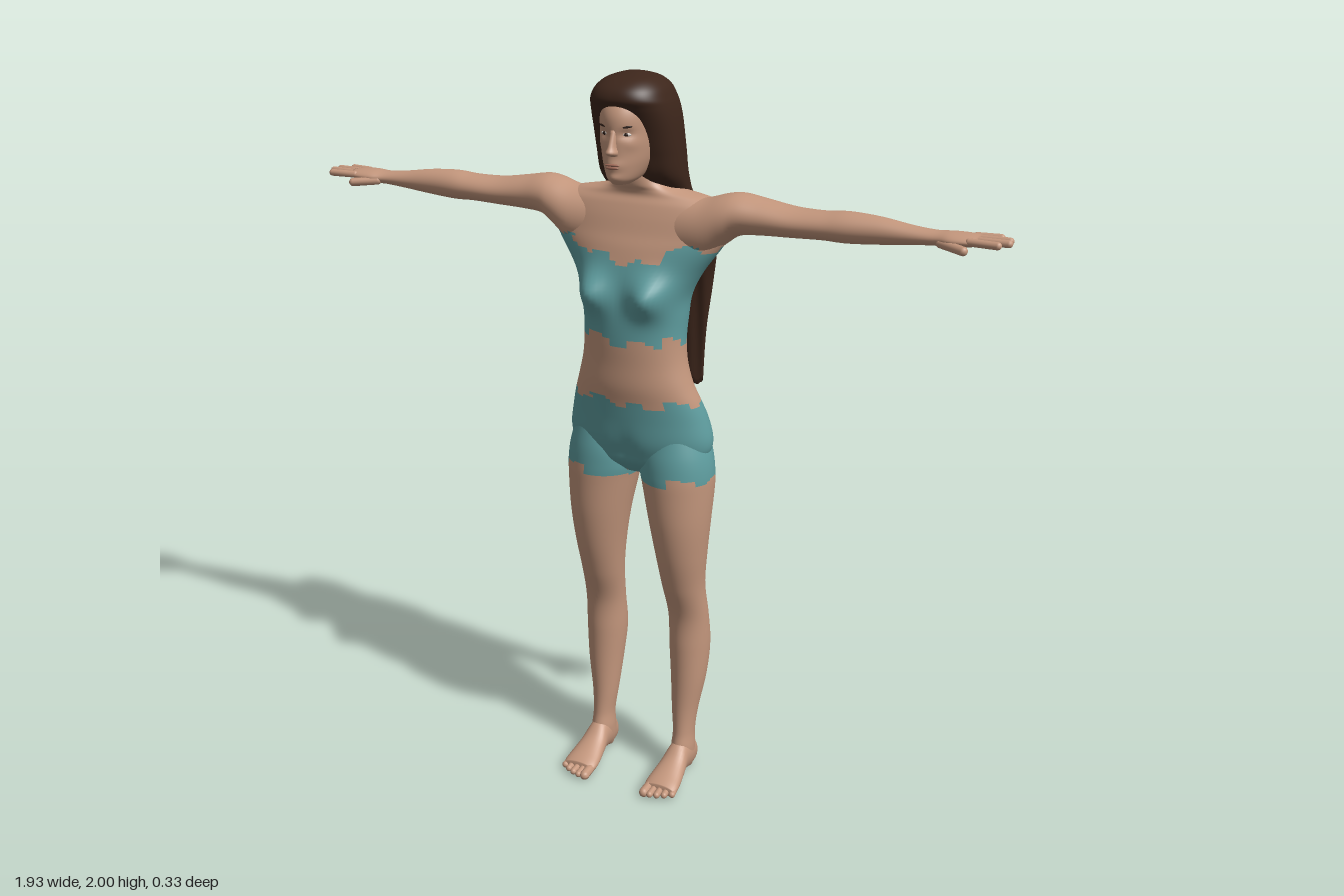
import * as THREE from 'three';

const mat = (name, color) => Object.assign(new THREE.MeshStandardMaterial({ color }), { name });

// Uniform cubic through four values
const cubic = (a, b, c, d, t) =>
  b + 0.5 * t * (c - a + t * (2 * a - 5 * b + 4 * c - d + t * (3 * (b - c) + d - a)));

// Smooth closed loft along an axis (0 x, 1 y, 2 z).
// A row is [s, aMin, aMax, bMin, bMax]; a and b are the next two axes in cyclic order.
function loft(rows, axis, { seg = 48, sub = 4, power = 2, warp, pick = () => 0 } = {}) {
  const rings = [];
  for (let i = 0; i < rows.length - 1; i++) {
    const r = [i - 1, i, i + 1, i + 2].map(k => rows[THREE.MathUtils.clamp(k, 0, rows.length - 1)]);
    for (let j = 0; j < sub; j++) rings.push(rows[i].map((_, k) => cubic(r[0][k], r[1][k], r[2][k], r[3][k], j / sub)));
  }
  rings.push(rows[rows.length - 1]);
  const pole = r => [r[0], (r[1] + r[2]) / 2, (r[1] + r[2]) / 2, (r[3] + r[4]) / 2, (r[3] + r[4]) / 2];
  rings.unshift(pole(rings[0]));
  rings.push(pole(rings[rings.length - 1]));

  const pts = [];
  const curve = v => Math.sign(v) * Math.abs(v) ** (2 / power);
  for (const [s, a0, a1, b0, b1] of rings) {
    for (let j = 0; j < seg; j++) {
      const t = (j / seg) * Math.PI * 2, u = curve(Math.cos(t)), v = curve(Math.sin(t));
      const p = [0, 0, 0];
      p[axis] = s;
      p[(axis + 1) % 3] = (a0 + a1) / 2 + u * (a1 - a0) / 2;
      p[(axis + 2) % 3] = (b0 + b1) / 2 + v * (b1 - b0) / 2;
      const q = new THREE.Vector3(...p);
      if (warp) warp(q, u);
      pts.push(q);
    }
  }
  const buckets = [[], []];
  for (let i = 0; i < rings.length - 1; i++) {
    for (let j = 0; j < seg; j++) {
      const a = i * seg + j, b = i * seg + (j + 1) % seg, c = b + seg, d = a + seg;
      const mid = pts[a].clone().add(pts[b]).add(pts[c]).add(pts[d]).multiplyScalar(0.25);
      buckets[pick(mid)].push(a, b, c, a, c, d);
    }
  }
  const g = new THREE.BufferGeometry().setFromPoints(pts);
  g.setIndex(buckets.flat());
  g.addGroup(0, buckets[0].length, 0);
  if (buckets[1].length) g.addGroup(buckets[0].length, buckets[1].length, 1);
  g.computeVertexNormals();
  return g;
}

// Copy of a geometry on the other side of x = 0
function mirrored(geo) {
  const g = geo.clone(), ix = g.index.array;
  g.scale(-1, 1, 1);
  for (let i = 0; i < ix.length; i += 3) [ix[i], ix[i + 1]] = [ix[i + 1], ix[i]];
  g.computeVertexNormals();
  return g;
}

// Rows for upright parts that are symmetric: [y, zBack, zFront, halfWidth]
const upright = rows => rows.map(([y, z0, z1, w]) => [y, z0, z1, -w, w]);

// Soft swellings and hollows: [|x|, y, depth, widthX, widthY, side]
const bumps = list => (p, u) => {
  for (const [x, y, d, sx, sy, side] of list) {
    if (u * side <= 0) continue;
    p.z += side * d * Math.min(1, Math.abs(u) * 1.6) *
      Math.exp(-(((Math.abs(p.x) - x) / sx) ** 2) - ((p.y - y) / sy) ** 2);
  }
};
const bodyShape = bumps([
  [0.085, 1.445, 0.048, 0.048, 0.05, 1], [0, 1.0, -0.008, 0.03, 0.06, 1],
  [0.095, 1.035, 0.042, 0.07, 0.075, -1], [0, 1.02, -0.03, 0.018, 0.08, -1],
  [0, 1.4, -0.012, 0.03, 0.12, -1],
]);
const faceShape = bumps([
  [0.03, 1.86, -0.008, 0.016, 0.011, 1], [0, 1.782, 0.005, 0.025, 0.014, 1],
  [0, 1.752, 0.005, 0.02, 0.01, 1], [0.045, 1.835, 0.004, 0.015, 0.015, 1],
]);

// Cloth areas with a stepped edge
function isCloth({ x, y, z }) {
  const k = Math.floor(Math.atan2(z, x) * 5);
  const n = Math.sin(k * 12.9) * 43758;
  const e = (n - Math.floor(n) - 0.5) * 0.026;
  const top = z < 0 ? 1.575 : 1.53 + Math.min(0.045, 1.8 * x * x);
  return (y > 0.925 + Math.abs(x) * 0.09 + e && y < 1.153 + e) || (y > 1.325 + e && y < top + e) ? 1 : 0;
}

export function createModel() {
  const model = new THREE.Group();
  const skin = mat('skin', 0xc4977d), cloth = mat('tealCloth', 0x5f9ea0), hair = mat('brownHair', 0x3d261b);
  const lip = mat('lip', 0xa06c5a), white = mat('eyeWhite', 0xd8d0c8), dark = mat('darkBrown', 0x2c1c15);
  const add = (name, geo, m) => {
    const mesh = new THREE.Mesh(geo, m);
    mesh.name = name;
    model.add(mesh);
    return mesh;
  };
  const body = [skin, cloth];

  // Torso and neck
  add('torso', loft(upright([
    [0.935, -0.07, 0.03, 0.08], [0.97, -0.105, 0.065, 0.165], [1.0, -0.12, 0.077, 0.198], [1.04, -0.13, 0.088, 0.207],
    [1.1, -0.12, 0.095, 0.195], [1.15, -0.1, 0.102, 0.18], [1.2, -0.085, 0.11, 0.162], [1.26, -0.08, 0.112, 0.147],
    [1.32, -0.085, 0.115, 0.142], [1.38, -0.095, 0.115, 0.145], [1.44, -0.1, 0.11, 0.153], [1.5, -0.1, 0.1, 0.182],
    [1.56, -0.1, 0.085, 0.225], [1.6, -0.1, 0.07, 0.25], [1.64, -0.1, 0.057, 0.26], [1.67, -0.095, 0.045, 0.245],
    [1.69, -0.09, 0.035, 0.19], [1.705, -0.075, 0.037, 0.115], [1.72, -0.06, 0.045, 0.073], [1.75, -0.05, 0.05, 0.054],
    [1.8, -0.05, 0.05, 0.052],
  ]), 1, { seg: 72, sub: 6, warp: bodyShape, pick: isCloth }), body);

  // Legs: y, zBack, zFront, xInner, xOuter
  const leg = loft([
    [0.008, -0.07, -0.03, 0.11, 0.15], [0.04, -0.082, 0, 0.1, 0.16], [0.08, -0.08, 0.012, 0.098, 0.162],
    [0.13, -0.078, 0.002, 0.1, 0.16], [0.2, -0.09, -0.003, 0.092, 0.166], [0.3, -0.115, -0.004, 0.083, 0.182],
    [0.4, -0.13, -0.003, 0.075, 0.189], [0.5, -0.112, 0, 0.074, 0.188], [0.6, -0.095, 0.032, 0.066, 0.186],
    [0.7, -0.097, 0.06, 0.054, 0.195], [0.8, -0.105, 0.077, 0.037, 0.205], [0.9, -0.12, 0.082, 0.016, 0.212],
    [0.95, -0.12, 0.082, 0.006, 0.212], [1.0, -0.115, 0.078, 0.008, 0.204], [1.06, -0.1, 0.065, 0.03, 0.185],
  ], 1, { sub: 8, warp: bodyShape, pick: isCloth });

  // Feet: z, xInner, xOuter, yBottom, yTop
  const foot = loft([
    [-0.09, 0.118, 0.142, 0.02, 0.055], [-0.078, 0.105, 0.156, 0.004, 0.085], [-0.045, 0.1, 0.162, 0, 0.11],
    [0, 0.097, 0.163, 0.008, 0.105], [0.04, 0.09, 0.17, 0.008, 0.075], [0.08, 0.083, 0.177, 0.002, 0.055],
    [0.11, 0.081, 0.18, 0, 0.043], [0.128, 0.086, 0.176, 0.004, 0.034],
  ], 2, { seg: 32 });

  // Arms: x, yBottom, yTop, zBack, zFront
  const arm = loft([
    [0.1, 1.52, 1.688, -0.09, 0.05], [0.18, 1.535, 1.692, -0.095, 0.058], [0.24, 1.58, 1.708, -0.096, 0.053],
    [0.28, 1.606, 1.712, -0.095, 0.045], [0.34, 1.612, 1.702, -0.093, 0.036], [0.42, 1.615, 1.69, -0.086, 0.031],
    [0.5, 1.619, 1.69, -0.072, 0.03], [0.56, 1.618, 1.695, -0.067, 0.029], [0.64, 1.624, 1.691, -0.056, 0.022],
    [0.72, 1.633, 1.68, -0.045, 0.018], [0.78, 1.639, 1.675, -0.042, 0.02], [0.82, 1.641, 1.677, -0.05, 0.033],
    [0.86, 1.645, 1.676, -0.054, 0.034], [0.885, 1.65, 1.673, -0.05, 0.03],
  ], 0, { sub: 5, pick: isCloth });

  // Rounded digit between two points
  const digit = (a, b, r) => {
    const p = new THREE.Vector3(...a), d = new THREE.Vector3(...b).sub(p);
    const g = new THREE.CapsuleGeometry(r, d.length() - 2 * r, 6, 12);
    g.applyQuaternion(new THREE.Quaternion().setFromUnitVectors(new THREE.Vector3(0, 1, 0), d.clone().normalize()));
    return g.translate(...p.addScaledVector(d, 0.5).toArray());
  };
  const fingers = [[0.023, 0.035, 0.948], [-0.001, 0.003, 0.966], [-0.024, -0.024, 0.962], [-0.045, -0.05, 0.935]]
    .map(([z0, z1, x]) => digit([0.86, 1.663, z0], [x, 1.664, z1], 0.0095));
  const thumb = digit([0.79, 1.652, 0.012], [0.872, 1.645, 0.05], 0.0115);
  const toes = [0, 1, 2, 3, 4].map(i =>
    digit([0.097 + i * 0.018, 0.02, 0.1], [0.095 + i * 0.0195, 0.014, 0.166 - i * i * 0.0018], i ? 0.0095 : 0.0135));

  for (const side of [1, -1]) {
    const g = geo => (side > 0 ? geo : mirrored(geo));
    const word = side > 0 ? 'left' : 'right';
    add(word + 'Leg', g(leg), body);
    add(word + 'Foot', g(foot), skin);
    add(word + 'Arm', g(arm), body);
    add(word + 'Thumb', g(thumb), skin);
    fingers.forEach(f => add(word + 'Finger', g(f), skin));
    toes.forEach(t => add(word + 'Toe', g(t), skin));
  }

  // Head and nose
  add('head', loft(upright([
    [1.733, 0.05, 0.12, 0.022], [1.748, 0, 0.134, 0.04], [1.78, -0.05, 0.138, 0.057], [1.81, -0.07, 0.138, 0.066],
    [1.85, -0.085, 0.138, 0.072], [1.9, -0.085, 0.138, 0.073], [1.935, -0.075, 0.12, 0.068], [1.965, -0.05, 0.085, 0.05],
  ]), 1, { seg: 72, sub: 8, warp: faceShape }), skin);
  add('nose', loft(upright([
    [1.807, 0.12, 0.147, 0.012], [1.816, 0.12, 0.164, 0.015], [1.832, 0.12, 0.156, 0.01], [1.87, 0.12, 0.14, 0.008],
  ]), 1, { seg: 24 }), skin);

  // Painted face details as flat ovals
  const oval = (name, m, x, y, z, sx, sy, sz, tilt = 0) => {
    const mesh = add(name, new THREE.SphereGeometry(1, 20, 12), m);
    mesh.position.set(x, y, z);
    mesh.scale.set(sx, sy, sz);
    mesh.rotation.set(0, x * 11, tilt);
  };
  for (const s of [1, -1]) {
    oval('eye', white, s * 0.03, 1.859, 0.121, 0.012, 0.0045, 0.004);
    oval('iris', dark, s * 0.03, 1.859, 0.123, 0.0055, 0.0045, 0.0035);
    oval('eyebrow', dark, s * 0.031, 1.878, 0.126, 0.016, 0.003, 0.004, s * 0.12);
  }
  oval('upperLip', lip, 0, 1.785, 0.1415, 0.021, 0.0035, 0.0045);
  oval('lowerLip', lip, 0, 1.778, 0.1415, 0.018, 0.0045, 0.0045);

  // Long hair, with fine strands and an uneven hem
  add('hair', loft(upright([
    [1.165, -0.16, -0.122, 0.125], [1.3, -0.158, -0.115, 0.135], [1.45, -0.155, -0.105, 0.155], [1.56, -0.15, -0.08, 0.17],
    [1.63, -0.14, -0.06, 0.148], [1.68, -0.125, -0.03, 0.118], [1.74, -0.112, 0.04, 0.116], [1.8, -0.105, 0.065, 0.115],
    [1.85, -0.1, 0.085, 0.113], [1.89, -0.098, 0.105, 0.11], [1.92, -0.095, 0.123, 0.105], [1.94, -0.09, 0.134, 0.099],
    [1.965, -0.077, 0.124, 0.087], [1.985, -0.05, 0.095, 0.064], [1.996, -0.015, 0.055, 0.032], [2.0, 0.015, 0.025, 0.005],
  ]), 1, {
    seg: 96, sub: 6, power: 2.5,
    warp: p => {
      const low = THREE.MathUtils.smoothstep(1.85 - p.y, 0, 0.3);
      p.z += low * 0.0025 * Math.sin(p.x * 150);
      if (p.y < 1.19) p.y += 0.009 * Math.sin(p.x * 95) + 0.005 * Math.sin(p.x * 210);
    },
  }), hair);

  return model;
}
